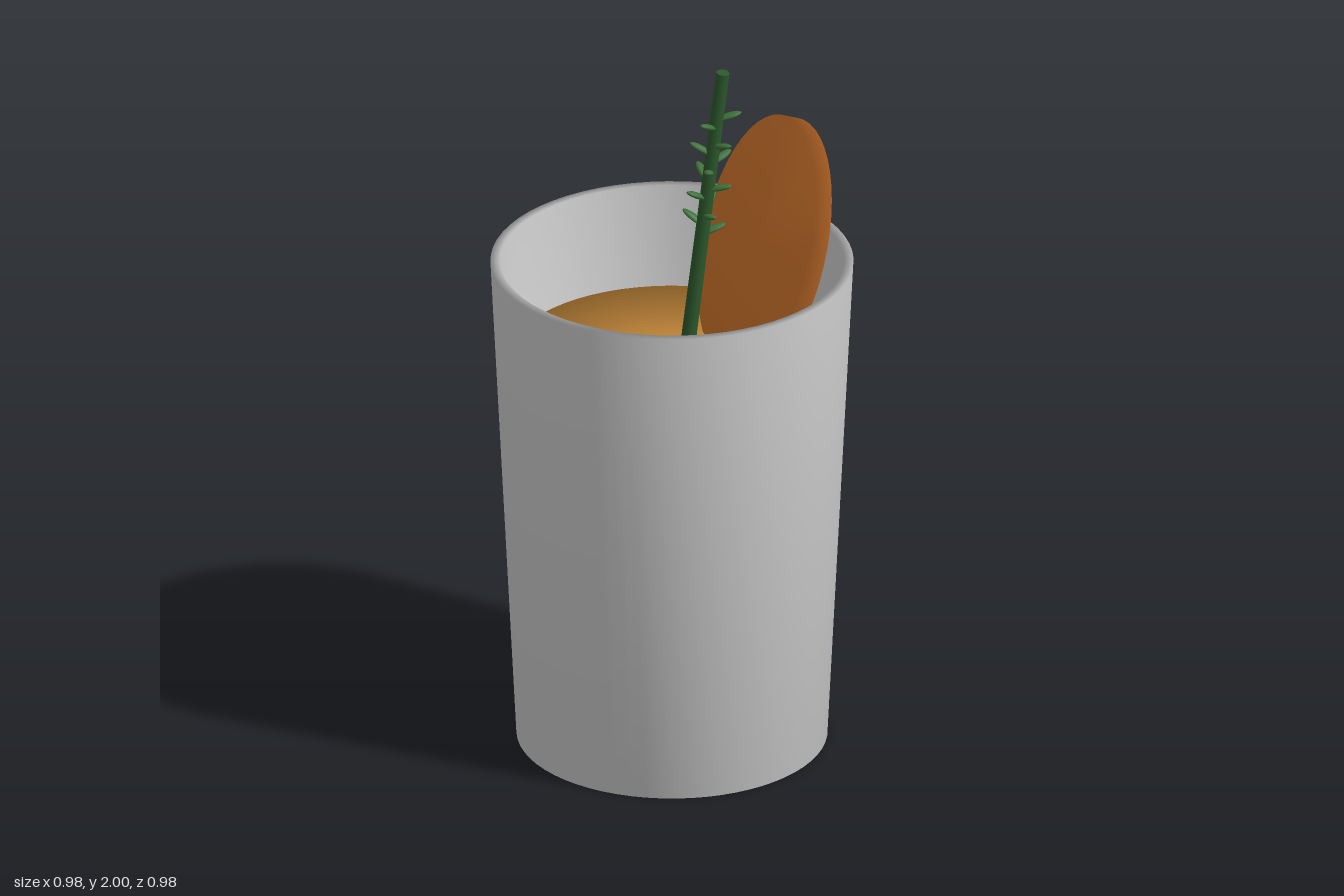
import * as THREE from 'three';
import { mergeVertices } from 'three/addons/utils/BufferGeometryUtils.js';

const paint = (name, color) => {
  const m = new THREE.MeshStandardMaterial({ color });
  m.name = name;
  return m;
};

// Weld all edges so the shading runs smoothly over them
function welded(geometry) {
  geometry.deleteAttribute('uv');
  geometry.deleteAttribute('normal');
  const g = mergeVertices(geometry, 1e-4);
  g.computeVertexNormals();
  return g;
}

export function createModel() {
  const model = new THREE.Group();
  model.name = 'drink';
  const glassGrey = paint('glass grey', 0xd0d0d0);
  const amber = paint('amber liquid', 0xd6943f);
  const orange = paint('orange peel', 0xcd732b);
  const stemGreen = paint('stem green', 0x2d5a2d);
  const leafGreen = paint('leaf green', 0x3c7039);

  const add = (parent, name, geometry, material) => {
    const mesh = new THREE.Mesh(geometry, material);
    mesh.name = name;
    parent.add(mesh);
    return mesh;
  };

  // Tapered tumbler with a thick wall and floor
  const profile = [[0, 0], [0.42, 0], [0.49, 1.41], [0.465, 1.41], [0.397, 0.06], [0, 0.06]]
    .map(([x, y]) => new THREE.Vector2(x, y));
  add(model, 'tumbler', welded(new THREE.LatheGeometry(profile, 64)), glassGrey);

  // Drink filling the lower part
  const liquid = add(model, 'liquid', welded(new THREE.CylinderGeometry(0.442, 0.39, 1.05, 64)), amber);
  liquid.position.y = 0.595;

  // Citrus wheel leaning on the rim
  const slice = add(model, 'citrusSlice', welded(new THREE.CylinderGeometry(0.35, 0.35, 0.05, 48)), orange);
  slice.position.set(0.264, 1.42, 0);
  slice.rotation.z = THREE.MathUtils.degToRad(-110);

  // Herb sprig: a leaning stem with narrow leaves spiralling around it
  const sprig = new THREE.Group();
  sprig.name = 'herbSprig';
  model.add(sprig);
  const foot = new THREE.Vector3(0.025, 1.06, 0.022);
  const tip = new THREE.Vector3(0.114, 1.998, 0.092);
  const axis = tip.clone().sub(foot);
  const length = axis.length();
  sprig.position.copy(foot);
  sprig.quaternion.setFromUnitVectors(new THREE.Vector3(0, 1, 0), axis.normalize());

  const stem = add(sprig, 'stem', new THREE.CylinderGeometry(0.018, 0.021, length, 12), stemGreen);
  stem.position.y = length / 2;

  const leafShape = new THREE.SphereGeometry(1, 10, 8).rotateZ(Math.PI / 2);
  leafShape.scale(0.036, 0.008, 0.014).translate(0.034, 0, 0);
  const leaves = 14;
  for (let i = 0; i < leaves; i++) {
    const leaf = add(sprig, 'leaf', leafShape, leafGreen);
    leaf.position.y = 0.45 + (0.35 * i) / (leaves - 1);
    leaf.rotation.set(0, i * 2.4, 0.4, 'YXZ');
  }
  return model;
}
